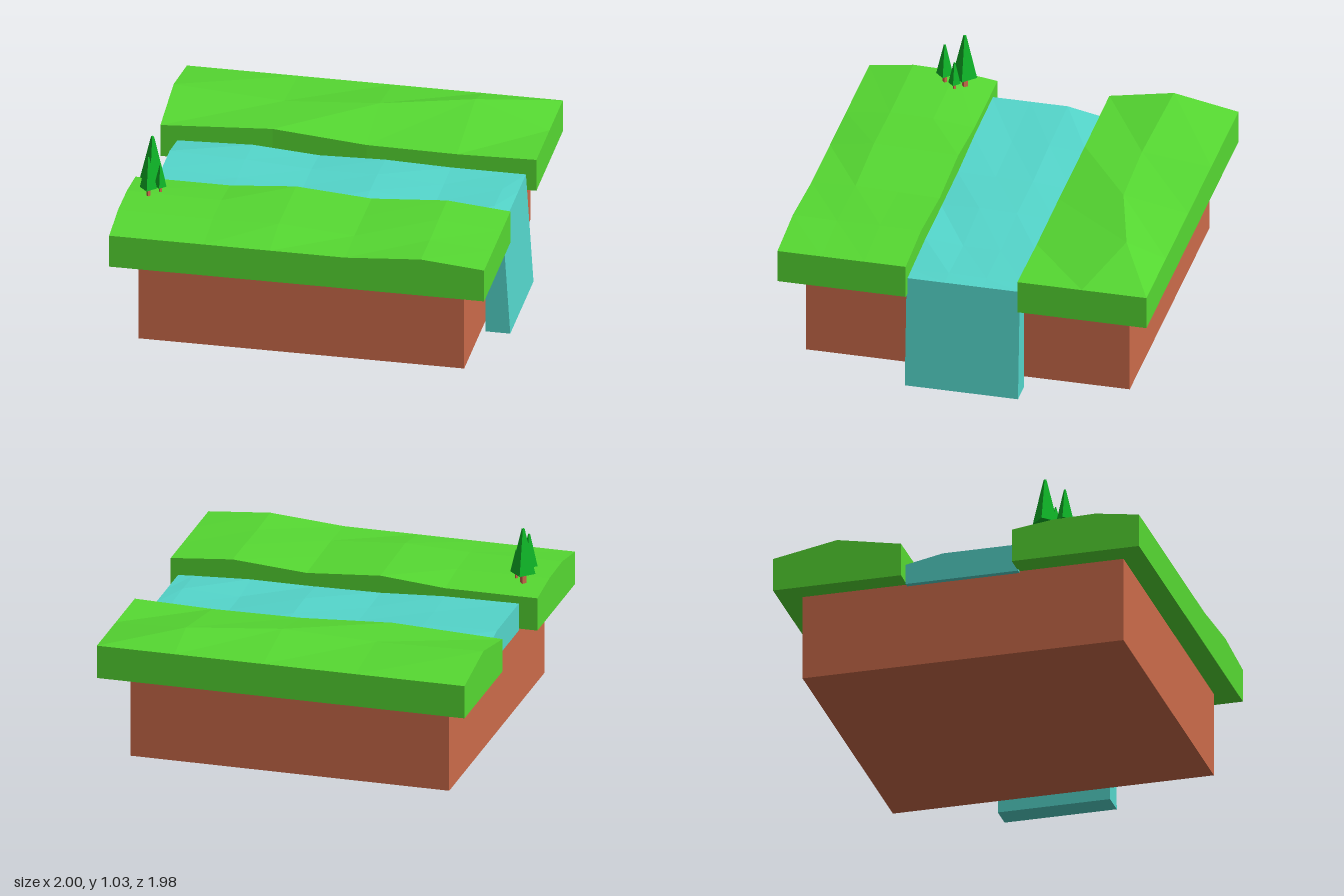
import * as THREE from 'three';

const COLORS = { grass: 0x56d932, water: 0x54d6cb, dirt: 0xcc6b4a, leaf: 0x0fb828 };
const mats = {};
for (const [key, color] of Object.entries(COLORS)) {
  mats[key] = new THREE.MeshStandardMaterial({ color, flatShading: true });
}

function addMesh(parent, name, geometry, material, x = 0, y = 0, z = 0) {
  const mesh = new THREE.Mesh(geometry, material);
  mesh.name = name;
  mesh.position.set(x, y, z);
  parent.add(mesh);
  return mesh;
}

// Flat-bottomed slab whose top follows a grid of heights.
// zs and heights hold one entry per row, from back to front; a row's z may vary per column.
function terrainSlab(xs, zs, heights, bottom) {
  const nx = xs.length - 1, nz = zs.length - 1;
  const geo = new THREE.BoxGeometry(nx, 1, nz, nx, 1, nz);
  const p = geo.attributes.position;
  for (let i = 0; i < p.count; i++) {
    const c = Math.round(p.getX(i) + nx / 2);
    const r = Math.round(p.getZ(i) + nz / 2);
    const z = Array.isArray(zs[r]) ? zs[r][c] : zs[r];
    p.setXYZ(i, xs[c], p.getY(i) > 0 ? heights[r][c] : bottom, z);
  }
  geo.computeVertexNormals();
  return geo;
}

// Low-poly conifer: short trunk and a four-sided crown
function makeTree(name, x, z, crownBottom, top, radius) {
  const tree = new THREE.Group();
  tree.name = name;
  const h = top - crownBottom;
  const trunkH = crownBottom - 0.72;
  addMesh(tree, 'trunk', new THREE.CylinderGeometry(radius * 0.25, radius * 0.25, trunkH, 4),
    mats.dirt, 0, 0.72 + trunkH / 2, 0);
  addMesh(tree, 'crown', new THREE.CylinderGeometry(radius * 0.12, radius, h, 4),
    mats.leaf, 0, crownBottom + h / 2, 0);
  tree.position.set(x, 0, z);
  return tree;
}

export function createModel() {
  const model = new THREE.Group();
  model.name = 'riverIsland';

  // Earth block
  addMesh(model, 'earth', new THREE.BoxGeometry(1.725, 0.465, 1.73), mats.dirt, -0.0075, 0.2975, 0);

  // Front grass bank, gently rolling
  addMesh(model, 'frontBank', terrainSlab(
    [-1, -0.5, -0.15, 0.25, 0.65, 0.985],
    [0.3, 0.52, 0.75, 0.985],
    [
      [0.71, 0.71, 0.74, 0.71, 0.74, 0.71],
      [0.74, 0.735, 0.745, 0.715, 0.74, 0.71],
      [0.745, 0.74, 0.75, 0.72, 0.735, 0.71],
      [0.71, 0.71, 0.71, 0.71, 0.74, 0.71],
    ], 0.53), mats.grass);

  // Back grass bank with a wandering ridge
  addMesh(model, 'backBank', terrainSlab(
    [-0.99, -0.4, 0.1, 0.58, 1],
    [-0.99, [-0.645, -0.62, -0.645, -0.78, -0.645], [-0.3, -0.315, -0.3, -0.3, -0.3]],
    [
      [0.71, 0.71, 0.71, 0.71, 0.71],
      [0.775, 0.75, 0.775, 0.78, 0.71],
      [0.71, 0.74, 0.705, 0.7, 0.71],
    ], 0.53), mats.grass);

  // River surface
  addMesh(model, 'river', terrainSlab(
    [-0.9, -0.5, -0.15, 0.2, 0.55, 0.86, 0.945],
    [-0.3, -0.1, 0.1, 0.305],
    [
      [0.63, 0.645, 0.62, 0.63, 0.62, 0.62, 0.62],
      [0.67, 0.66, 0.64, 0.645, 0.62, 0.625, 0.62],
      [0.67, 0.655, 0.64, 0.65, 0.62, 0.63, 0.62],
      [0.67, 0.665, 0.645, 0.64, 0.64, 0.625, 0.62],
    ], 0.52), mats.water);

  // Waterfall wedge, widening toward the bottom
  const fall = new THREE.Shape([
    new THREE.Vector2(0.855, 0), new THREE.Vector2(0.985, 0),
    new THREE.Vector2(0.945, 0.62), new THREE.Vector2(0.855, 0.62),
  ]);
  addMesh(model, 'waterfall', new THREE.ExtrudeGeometry(fall, { depth: 0.605, bevelEnabled: false }),
    mats.water, 0, 0, -0.3);

  // Cluster of trees
  model.add(
    makeTree('largeTree', -0.88, 0.445, 0.785, 1.03, 0.066),
    makeTree('mediumTree', -0.88, 0.552, 0.785, 0.96, 0.046),
    makeTree('smallTree', -0.83, 0.488, 0.767, 0.89, 0.033),
  );
  return model;
}
